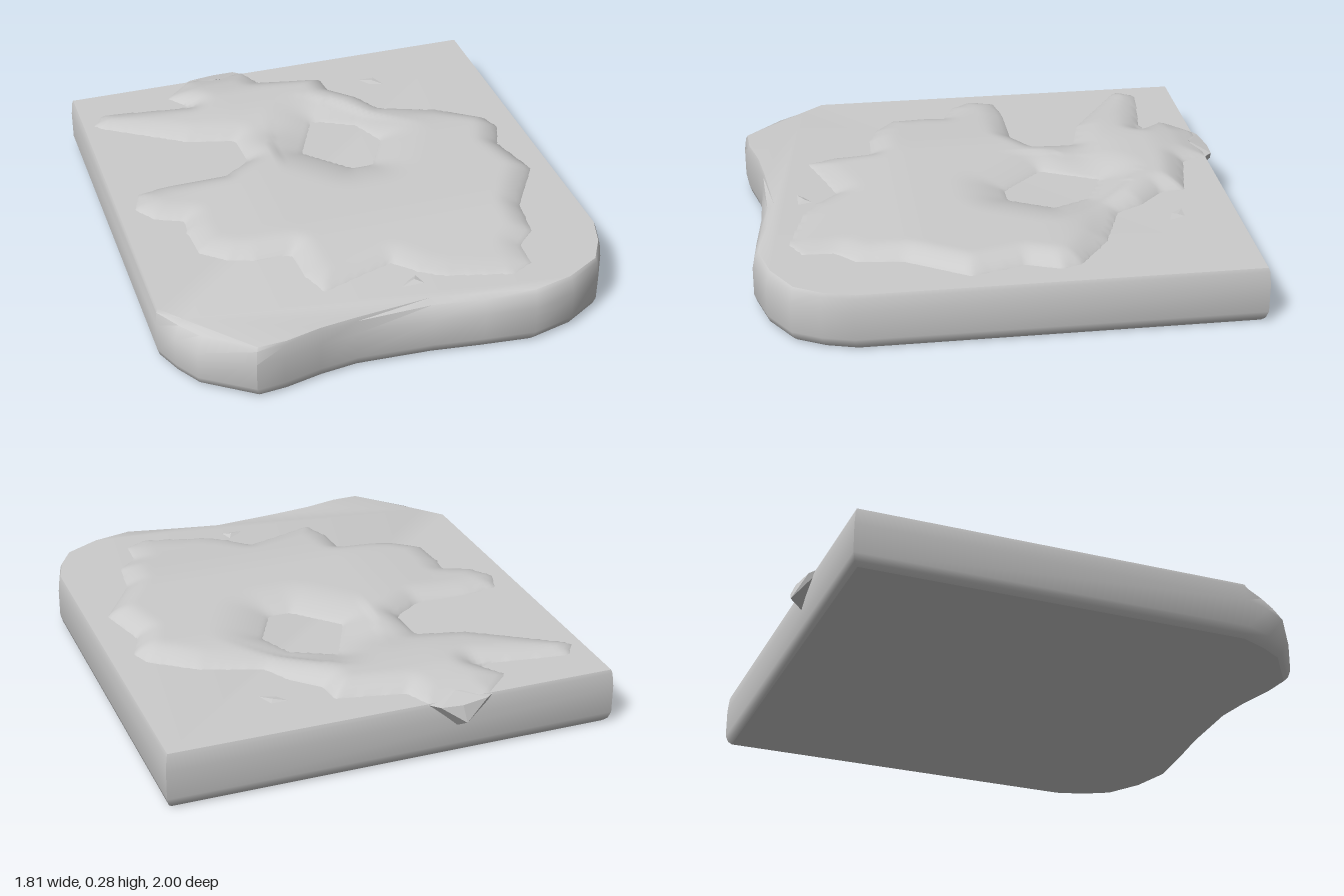
import * as THREE from 'three';
import { toCreasedNormals } from 'three/addons/utils/BufferGeometryUtils.js';
import { ConvexGeometry } from 'three/addons/geometries/ConvexGeometry.js';

const TOP = 0.23;
const material = new THREE.MeshStandardMaterial({ color: 0xcccccc });

function add(group, name, geometry) {
  const mesh = new THREE.Mesh(geometry, material);
  mesh.name = name;
  group.add(mesh);
}

function buildGeometry(positions, indices, crease) {
  const g = new THREE.BufferGeometry();
  g.setAttribute('position', new THREE.Float32BufferAttribute(positions, 3));
  g.setIndex(indices);
  if (crease) return toCreasedNormals(g, crease);
  g.computeVertexNormals();
  return g;
}

// Slab outlines (x, z): widest line and top rim, running from back left to back right
const rim = [[0.905, -0.95], [0.905, 0.63], [0.87, 0.75], [0.81, 0.86], [0.67, 0.945], [0.5, 0.99], [0.3, 0.97],
  [0.1, 0.945], [-0.2, 0.93], [-0.35, 0.95], [-0.5, 0.985], [-0.61, 0.995], [-0.8, 0.86], [-0.86, 0.76],
  [-0.905, 0.65], [-0.905, -0.95]];
const topRim = [[0.895, -0.94], [0.895, 0.62], [0.86, 0.74], [0.8, 0.845], [0.66, 0.925], [0.5, 0.965], [0.3, 0.925],
  [0.1, 0.89], [-0.2, 0.92], [-0.35, 0.94], [-0.49, 0.975], [-0.6, 0.98], [-0.76, 0.8], [-0.82, 0.73],
  [-0.895, 0.64], [-0.895, -0.94]];

function slabGeometry() {
  const n = rim.length;
  const inset = (k) => rim.map(([x, z]) => [x * k, z * k]);
  const loops = [[inset(0.975), 0.005], [inset(0.99), 0.015], [rim, 0.045], [rim, 0.16],
    [rim.map(([x, z], i) => [(x + topRim[i][0]) / 2, (z + topRim[i][1]) / 2]), 0.215], [topRim, TOP]];
  const pos = [], idx = [];
  for (const [loop, y] of loops) for (const [x, z] of loop) pos.push(x, y - (y === 0.005 ? 0.005 : 0), z);
  for (let r = 0; r < loops.length - 1; r++) {
    for (let i = 0; i < n; i++) {
      const a = r * n + i, b = r * n + (i + 1) % n;
      idx.push(a, a + n, b, b, a + n, b + n);
    }
  }
  // Bottom and top caps
  for (const [loop, start, up] of [[loops[0][0], 0, false], [topRim, (loops.length - 1) * n, true]]) {
    const pts = loop.map(([x, z]) => new THREE.Vector2(x, z));
    for (const [a, b, c] of THREE.ShapeUtils.triangulateShape(pts, [])) {
      const [p, q, s] = [pts[a], pts[b], pts[c]];
      const cross = (q.x - p.x) * (s.y - p.y) - (q.y - p.y) * (s.x - p.x);
      const flip = (cross < 0) !== up;
      idx.push(start + a, start + (flip ? c : b), start + (flip ? b : c));
    }
  }
  return buildGeometry(pos, idx, 0.7);
}

// Spill outline and the opening in it (x, z)
const spill = [[-0.38, -0.94], [-0.12, -0.94], [-0.08, -0.84], [0.05, -0.81], [0.19, -0.78], [0.2, -0.68],
  [0.3, -0.58], [0.36, -0.47], [0.6, -0.38], [0.77, -0.25], [0.8, -0.17], [0.75, -0.04], [0.81, 0.18],
  [0.66, 0.42], [0.64, 0.6], [0.56, 0.67], [0.55, 0.8], [0.46, 0.85], [0.2, 0.78], [0.12, 0.73], [0.03, 0.64],
  [-0.1, 0.68], [-0.27, 0.74], [-0.31, 0.62], [-0.32, 0.47], [-0.47, 0.46], [-0.56, 0.43], [-0.66, 0.35],
  [-0.67, 0.2], [-0.66, 0.12], [-0.77, 0.07], [-0.83, -0.02], [-0.79, -0.13], [-0.65, -0.15], [-0.42, -0.15],
  [-0.3, -0.23], [-0.31, -0.4], [-0.5, -0.45], [-0.83, -0.67], [-0.85, -0.7], [-0.8, -0.78], [-0.6, -0.75],
  [-0.42, -0.72], [-0.5, -0.83]];
const opening = [[0.05, -0.45], [0.22, -0.36], [0.28, -0.22], [0.19, -0.05], [0.1, -0.05], [-0.06, -0.22]];

// Nearest border point, its distance, and whether (x, z) lies in the spill
function locate(x, z) {
  let inside = false, best = { d: Infinity };
  for (const [poly, slope] of [[spill, 1], [opening, 0.5]]) {
    poly.forEach(([ax, az], i) => {
      const [bx, bz] = poly[(i + 1) % poly.length];
      if ((az > z) !== (bz > z) && x < ax + ((z - az) / (bz - az)) * (bx - ax)) inside = !inside;
      const t = THREE.MathUtils.clamp(((x - ax) * (bx - ax) + (z - az) * (bz - az)) /
        ((bx - ax) ** 2 + (bz - az) ** 2), 0, 1);
      const px = ax + t * (bx - ax), pz = az + t * (bz - az), d = Math.hypot(x - px, z - pz);
      if (d < best.d) best = { d, px, pz, slope };
    });
  }
  return { ...best, inside };
}

// Gentle swelling of the spill, thinner to the front, left and across the neck
function swell(x, z) {
  const { smoothstep } = THREE.MathUtils;
  const front = 1 - 0.75 * smoothstep(z, 0.3, 0.85);
  const left = 0.55 + 0.45 * smoothstep(x, -0.75, -0.25);
  const neck = 1 - 0.45 * Math.exp(-(((z + 0.4) / 0.12) ** 2));
  const back = 1 - 0.6 * smoothstep(-z, 0.7, 0.95);
  return 0.045 * front * left * neck * back;
}

function spillGeometry() {
  const step = 0.02, nx = 85, nz = 92, pos = [], idx = [], isIn = [];
  for (let j = 0; j <= nz; j++) {
    for (let i = 0; i <= nx; i++) {
      const x = -0.87 + i * step, z = -0.96 + j * step, p = locate(x, z);
      isIn.push(p.inside);
      if (p.inside) {
        const edge = 1 - (1 - Math.min(1, (p.d * p.slope) / 0.11)) ** 2;
        pos.push(x, TOP + 0.001 + swell(x, z) * edge, z);
      } else pos.push(p.px, TOP - 0.003, p.pz);
    }
  }
  for (let j = 0; j < nz; j++) {
    for (let i = 0; i < nx; i++) {
      const a = j * (nx + 1) + i, b = a + 1, c = a + nx + 1, d = c + 1;
      for (const t of [[a, c, b], [b, c, d]]) if (t.some((k) => isIn[k])) idx.push(...t);
    }
  }
  return buildGeometry(pos, idx);
}

const lump = (points) => new ConvexGeometry(points.map((p) => new THREE.Vector3(...p)));

export function createModel() {
  const group = new THREE.Group();
  add(group, 'slab', slabGeometry());
  add(group, 'spill', spillGeometry());

  // Drip hanging over the back edge
  add(group, 'drip', lump([[-0.42, 0.228, -0.92], [-0.09, 0.228, -0.91], [-0.36, 0.225, -0.96],
    [-0.16, 0.225, -0.975], [-0.25, 0.222, -0.98], [-0.25, 0.245, -0.9], [-0.26, 0.155, -1], [-0.24, 0.12, -0.945]]));

  // Small separate splashes
  add(group, 'backSplash', lump([[0.33, 0.228, -0.74], [0.43, 0.228, -0.74], [0.47, 0.228, -0.64],
    [0.38, 0.228, -0.67], [0.41, 0.234, -0.7]]));
  add(group, 'frontSplash', lump([[0.01, 0.228, 0.8], [0.12, 0.228, 0.8], [0.1, 0.228, 0.73],
    [0.04, 0.228, 0.77], [0.08, 0.238, 0.77]]));
  return group;
}
